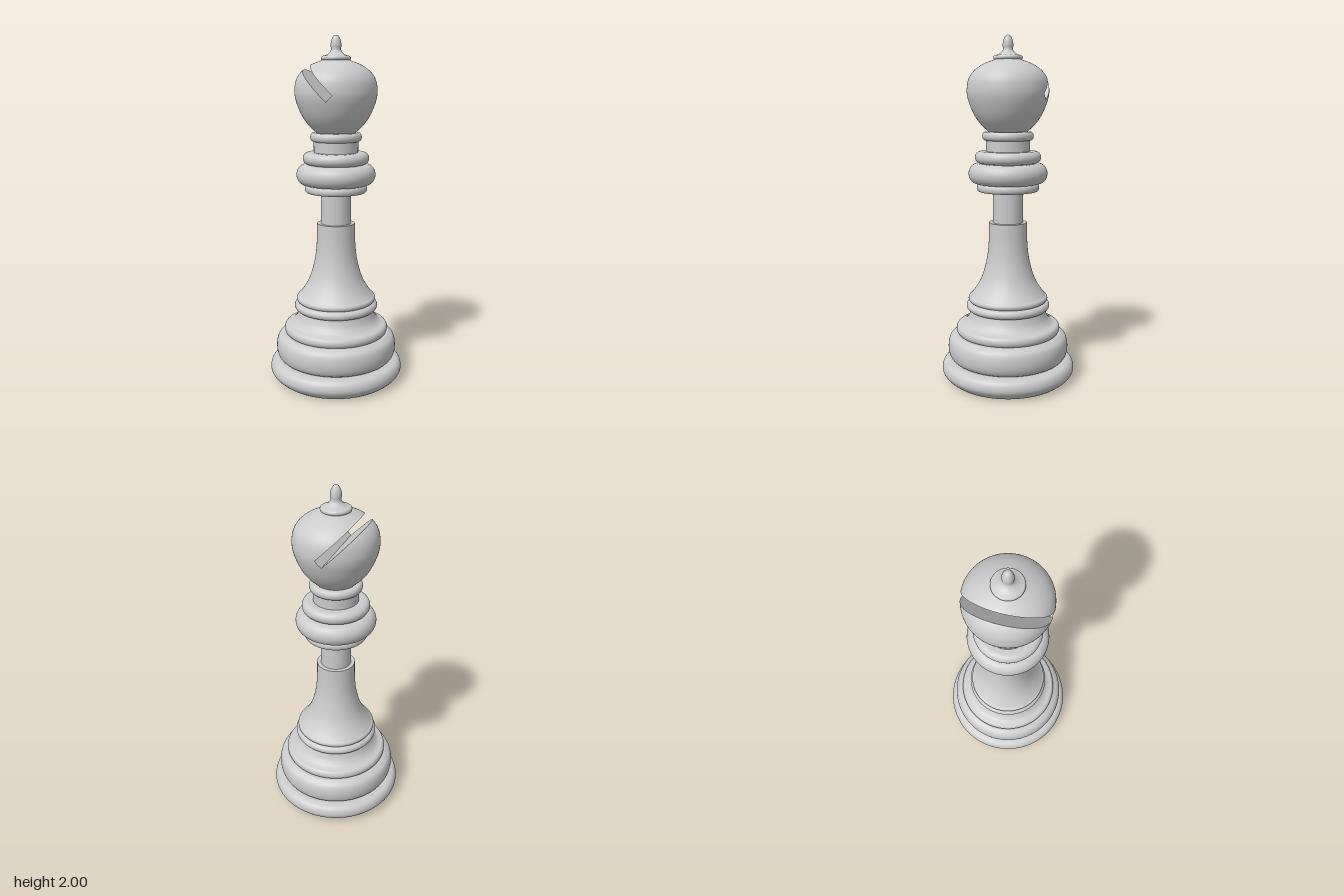
import * as THREE from 'three';
import { mergeGeometries } from 'three/addons/utils/BufferGeometryUtils.js';

const SEGMENTS = 96;
const material = new THREE.MeshStandardMaterial({ color: 0xcccccc });
const v2 = ([x, y]) => new THREE.Vector2(x, y);
const smooth = (pts, n = 24) => new THREE.SplineCurve(pts.map(v2)).getPoints(n);

// Each profile runs bottom to top and is smooth; edges between profiles stay sharp.
function turned(name, ...profiles) {
  const parts = profiles.map(p => new THREE.LatheGeometry(p, SEGMENTS));
  const mesh = new THREE.Mesh(mergeGeometries(parts), material);
  mesh.name = name;
  return mesh;
}

// Rounded moulding bulging from radius inner to outer, with flat top and bottom.
function ring(name, inner, outer, y0, y1) {
  const bulge = [];
  for (let i = 0; i <= 16; i++) {
    const a = (i / 16 - 0.5) * Math.PI;
    bulge.push(v2([inner + (outer - inner) * Math.cos(a), (y0 + y1) / 2 + (y1 - y0) / 2 * Math.sin(a)]));
  }
  return turned(name, [v2([0.07, y0]), v2([inner, y0])], bulge, [v2([inner, y1]), v2([0.07, y1])]);
}

// Slot frame: u points out of the slot, v across it, both in the xy plane.
const S = Math.SQRT1_2, ORIGIN = [0.013, 1.658], HALF = 0.025;
const toU = p => (-(p[0] - ORIGIN[0]) + (p[1] - ORIGIN[1])) * S;
const toV = p => ((p[0] - ORIGIN[0]) + (p[1] - ORIGIN[1])) * S;
const fromUV = (u, v) => [ORIGIN[0] + (v - u) * S, ORIGIN[1] + (u + v) * S];

// Keep the part of a polygon where dist >= 0; corners are [position, normal] as six numbers.
function clip(poly, dist) {
  const out = [];
  poly.forEach((a, i) => {
    const b = poly[(i + 1) % poly.length], da = dist(a), db = dist(b);
    if (da >= 0) out.push(a);
    if ((da >= 0) !== (db >= 0)) out.push(a.map((c, k) => c + (b[k] - c) * da / (da - db)));
  });
  return out;
}

function slottedHead() {
  const profile = smooth([[0.11, 1.462], [0.155, 1.505], [0.19, 1.555], [0.215, 1.61], [0.229, 1.655],
    [0.233, 1.695], [0.227, 1.745], [0.208, 1.785], [0.175, 1.818], [0.13, 1.845], [0.07, 1.867]], 48);
  const radius = y => {
    const i = profile.findIndex(p => p.y >= y);
    if (i < 1) return 0;
    const a = profile[i - 1], b = profile[i];
    return a.x + (b.x - a.x) * (y - a.y) / (b.y - a.y);
  };
  const pos = [], nor = [];
  const addPoly = poly => {
    for (let i = 1; i < poly.length - 1; i++) {
      for (const c of [poly[0], poly[i], poly[i + 1]]) {
        pos.push(c[0], c[1], c[2]);
        nor.push(c[3], c[4], c[5]);
      }
    }
  };

  // Outer skin, cut open along the slot
  const skin = new THREE.LatheGeometry(profile, SEGMENTS).toNonIndexed();
  const P = skin.attributes.position, N = skin.attributes.normal;
  for (let i = 0; i < P.count; i += 3) {
    const tri = [0, 1, 2].map(k => [P.getX(i + k), P.getY(i + k), P.getZ(i + k),
      N.getX(i + k), N.getY(i + k), N.getZ(i + k)]);
    addPoly(clip(tri, p => -toU(p)));
    const open = clip(tri, toU);
    addPoly(clip(open, p => toV(p) - HALF));
    addPoly(clip(open, p => -HALF - toV(p)));
  }

  // Flat slot faces spanning the full depth of the head
  const strip = (points, n) => {
    for (let i = 0; i < points.length - 1; i++) {
      const corners = [];
      for (const [p, s] of [[points[i], -1], [points[i], 1], [points[i + 1], 1], [points[i + 1], -1]]) {
        const z = Math.sqrt(Math.max(0, radius(p[1]) ** 2 - p[0] ** 2));
        corners.push([p[0], p[1], s * z, ...n]);
      }
      addPoly(corners);
    }
  };
  const wall = v => {
    let lo = 0, hi = 0.35;
    for (let i = 0; i < 40; i++) {
      const m = (lo + hi) / 2, p = fromUV(m, v);
      if (radius(p[1]) > Math.abs(p[0])) lo = m; else hi = m;
    }
    // Finer spacing towards the rim
    return Array.from({ length: 33 }, (_, i) => fromUV(lo * Math.sin(i / 32 * Math.PI / 2), v));
  };
  strip(wall(HALF).reverse(), [-S, -S, 0]);
  strip(wall(-HALF), [S, S, 0]);
  strip([-1, -0.5, 0, 0.5, 1].map(t => fromUV(0, t * HALF)).reverse(), [-S, S, 0]);

  // Orient every triangle to agree with its normals
  for (let i = 0; i < pos.length; i += 9) {
    const [a, b, c] = [0, 3, 6].map(k => new THREE.Vector3().fromArray(pos, i + k));
    const n = new THREE.Vector3().fromArray(nor, i);
    if (b.clone().sub(a).cross(c.clone().sub(a)).dot(n) < 0) {
      b.toArray(pos, i + 6);
      c.toArray(pos, i + 3);
      const nb = nor.slice(i + 3, i + 6), nc = nor.slice(i + 6, i + 9);
      for (let k = 0; k < 3; k++) { nor[i + 3 + k] = nc[k]; nor[i + 6 + k] = nb[k]; }
    }
  }
  const geometry = new THREE.BufferGeometry();
  geometry.setAttribute('position', new THREE.Float32BufferAttribute(pos, 3));
  geometry.setAttribute('normal', new THREE.Float32BufferAttribute(nor, 3));
  const mesh = new THREE.Mesh(geometry, material);
  mesh.name = 'slottedHead';
  return mesh;
}

export function createModel() {
  const group = new THREE.Group();
  group.name = 'chessBishop';
  group.add(
    // Base
    turned('foot', [v2([0, 0]), v2([0.338, 0])],
      smooth([[0.338, 0], [0.365, 0.02], [0.386, 0.045], [0.392, 0.068], [0.386, 0.095], [0.37, 0.113], [0.345, 0.12]]),
      [v2([0.345, 0.12]), v2([0.2, 0.12])]),
    turned('baseBulge', smooth([[0.315, 0.12], [0.337, 0.135], [0.35, 0.16], [0.355, 0.198], [0.351, 0.235],
      [0.338, 0.262], [0.31, 0.28]]), [v2([0.31, 0.28]), v2([0.2, 0.28])]),
    ring('baseRing', 0.285, 0.306, 0.28, 0.335),
    turned('baseCove', smooth([[0.288, 0.334], [0.26, 0.345], [0.237, 0.37], [0.224, 0.4], [0.218, 0.425]])),
    ring('lowerStemRing', 0.22, 0.245, 0.42, 0.47),
    ring('upperStemRing', 0.215, 0.233, 0.47, 0.508),
    // Stem
    turned('flaredStem', smooth([[0.222, 0.506], [0.195, 0.54], [0.165, 0.59], [0.142, 0.65], [0.123, 0.73],
      [0.113, 0.82], [0.11, 0.94]]), [v2([0.11, 0.94]), v2([0.085, 0.94])]),
    turned('column', [v2([0.088, 0.93]), v2([0.088, 1.13])]),
    // Collar
    ring('collarLowerRing', 0.165, 0.18, 1.122, 1.167),
    ring('collarMainRing', 0.175, 0.227, 1.167, 1.284),
    ring('collarUpperRing', 0.155, 0.19, 1.284, 1.353),
    turned('neck', [v2([0.127, 1.345]), v2([0.127, 1.42])]),
    ring('headRing', 0.128, 0.147, 1.414, 1.464),
    // Head and finial
    slottedHead(),
    ring('finialRing', 0.07, 0.083, 1.862, 1.888),
    turned('finial', smooth([[0.072, 1.887], [0.05, 1.896], [0.033, 1.91], [0.028, 1.925], [0.03, 1.945],
      [0.027, 1.968], [0.019, 1.988], [0.01, 1.998], [0, 2]], 40)),
  );
  return group;
}
